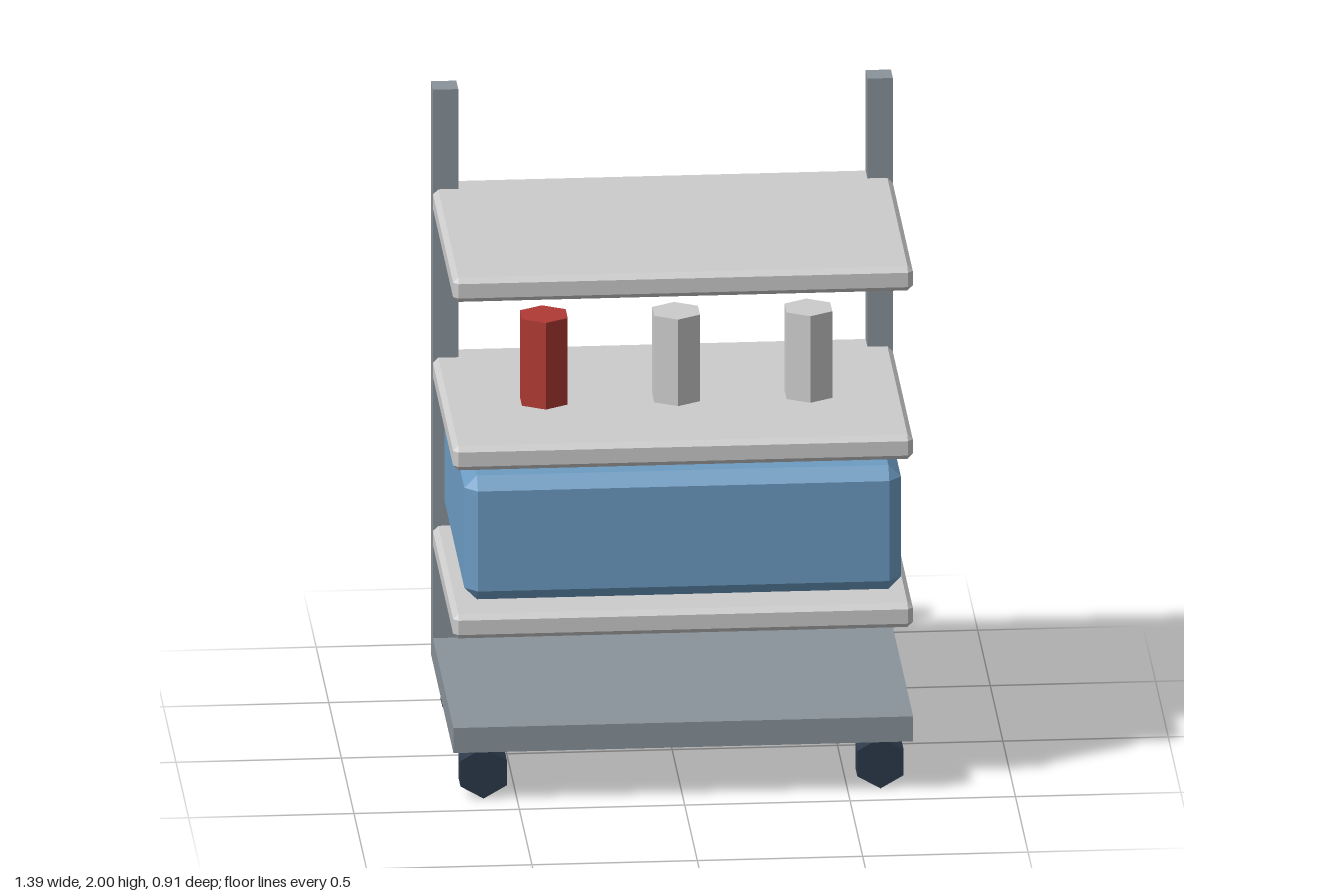
import * as THREE from 'three';
import { ConvexGeometry } from 'three/addons/geometries/ConvexGeometry.js';

const material = (color) => new THREE.MeshStandardMaterial({ color, flatShading: true });

// Box with every edge cut by a flat chamfer c
function chamferBox(w, h, d, c) {
  const points = [];
  for (const sx of [-1, 1]) for (const sy of [-1, 1]) for (const sz of [-1, 1]) {
    for (let axis = 0; axis < 3; axis++) {
      const inset = [c, c, c];
      inset[axis] = 0;
      points.push(new THREE.Vector3(
        sx * (w / 2 - inset[0]), sy * (h / 2 - inset[1]), sz * (d / 2 - inset[2])));
    }
  }
  return new ConvexGeometry(points);
}

export function createModel() {
  const group = new THREE.Group();
  const frame = material(0x8a939a);
  const shelfMat = material(0xc8cccc);
  const blue = material(0x6d9cc3);
  const red = material(0xb03a34);
  const grey = material(0xcccccc);
  const rubber = material(0x2c3a4a);

  const add = (name, geometry, mat, x, y, z) => {
    const mesh = new THREE.Mesh(geometry, mat);
    mesh.name = name;
    mesh.position.set(x, y, z);
    group.add(mesh);
    return mesh;
  };

  // Base plate and its four six-sided wheels
  add('base', new THREE.BoxGeometry(1.39, 0.08, 0.897), frame, 0, 0.205, -0.005);
  const wheel = new THREE.CylinderGeometry(0.081, 0.081, 0.077, 6).rotateX(Math.PI / 2);
  for (const x of [-0.6, 0.6]) {
    for (const z of [-0.363, 0.357]) add('wheel', wheel, rubber, x, 0.081, z);
  }

  // Rear uprights
  const post = new THREE.BoxGeometry(0.077, 1.8, 0.077);
  for (const s of [-1, 1]) add('post', post, frame, s * 0.657, 1.1, -0.406);

  // Shelves
  const shelf = chamferBox(1.39, 0.078, 0.897, 0.016);
  for (const y of [0.565, 1.103, 1.642]) add('shelf', shelf, shelfMat, 0, y, -0.005);

  // Storage bin between the lower shelves
  add('bin', chamferBox(1.32, 0.396, 0.88, 0.038), blue, 0, 0.844, 0.015);

  // Row of six-sided canisters
  const canister = new THREE.CylinderGeometry(0.08, 0.08, 0.277, 6);
  [-0.4, 0, 0.4].forEach((x, i) => add('canister', canister, i === 0 ? red : grey, x, 1.322, 0.158));

  return group;
}
